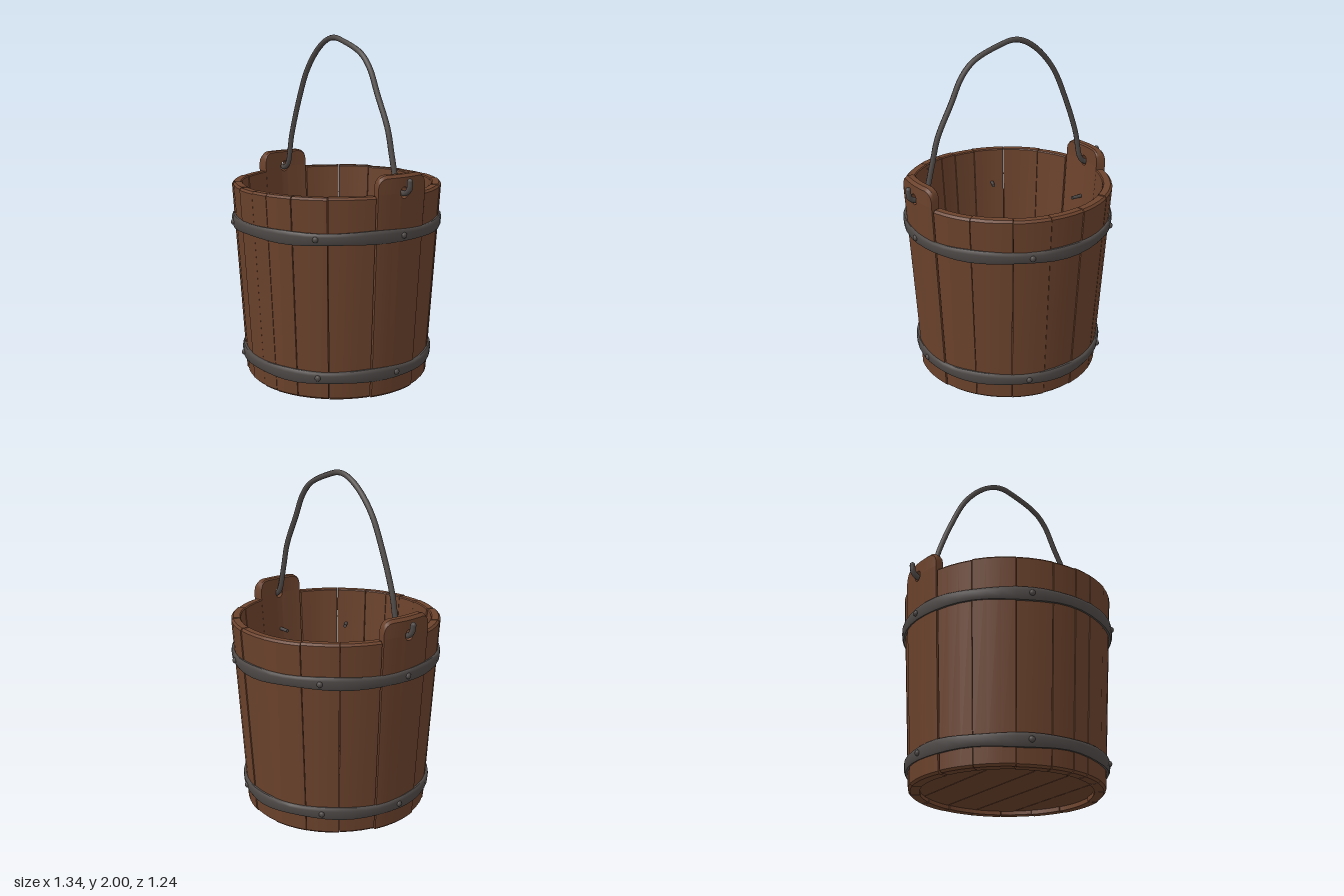
import * as THREE from 'three';
import { toCreasedNormals } from 'three/addons/utils/BufferGeometryUtils.js';

const rad = THREE.MathUtils.degToRad;
const TOP = 1.16;
const outerR = y => 0.542 + 0.07 * Math.min(y / TOP, 1);
const innerR = y => 0.478 + 0.078 * Math.min(y / TOP, 1);

let seed = 7;
const jitter = s => {
  seed = (seed * 16807) % 2147483647;
  return (seed / 2147483647 - 0.5) * 2 * s;
};

// Curved board: angle list (radians), lower and upper edge per angle, chamfers, radial shift
function boardGeometry(angles, lo, hi, chamferLo, chamferHi, shift) {
  const columns = angles.map(a => {
    const y0 = lo(a), y1 = hi(a), ro = y => outerR(y) + shift, ri = y => innerR(y) + shift;
    return [
      [ro(y0) - chamferLo, y0], [ro(y0), y0 + chamferLo],
      [ro(y1), y1 - chamferHi], [ro(y1) - chamferHi, y1],
      [ri(y1) + chamferHi * 0.5, y1], [ri(y1), y1 - chamferHi * 0.5], [ri(y0), y0],
    ].map(([r, y]) => new THREE.Vector3(r * Math.cos(a), y, r * Math.sin(a)));
  });
  const pos = [];
  const tri = (...pts) => pts.forEach(p => pos.push(p.x, p.y, p.z));
  for (let i = 0; i < columns.length - 1; i++) {
    const c = columns[i], d = columns[i + 1];
    for (let k = 0; k < c.length; k++) {
      const n = (k + 1) % c.length;
      tri(c[k], c[n], d[k]);
      tri(c[n], d[n], d[k]);
    }
  }
  const first = columns[0], last = columns[columns.length - 1];
  for (let k = 1; k < first.length - 1; k++) {
    tri(first[0], first[k + 1], first[k]);
    tri(last[0], last[k], last[k + 1]);
  }
  const g = new THREE.BufferGeometry();
  g.setAttribute('position', new THREE.Float32BufferAttribute(pos, 3));
  return toCreasedNormals(g, rad(30));
}

export function createModel() {
  const model = new THREE.Group();
  model.name = 'bucket';
  const wood = new THREE.MeshStandardMaterial({ color: 0x6b422c });
  wood.name = 'brown wood';
  const iron = new THREE.MeshStandardMaterial({ color: 0x4f4a48 });
  iron.name = 'dark iron';
  const add = (name, geometry, material, parent = model) => {
    const m = new THREE.Mesh(geometry, material);
    m.name = name;
    parent.add(m);
    return m;
  };

  // Plain staves, front then back, between the two ears
  const staves = new THREE.Group();
  staves.name = 'staves';
  model.add(staves);
  const seams = [
    [16, 41, 60, 75, 86, 100, 120, 143, 164],
    [196, 218, 238, 260, 280, 300, 322, 344],
  ];
  for (const list of seams) {
    for (let i = 0; i < list.length - 1; i++) {
      const a0 = rad(list[i] + 0.2), a1 = rad(list[i + 1] - 0.2);
      const angles = [0, 1, 2, 3].map(k => a0 + (a1 - a0) * k / 3);
      const bottom = 0.003 + jitter(0.003), top = TOP - 0.003 + jitter(0.004);
      add('stave', boardGeometry(angles, () => bottom, () => top, 0.012, 0.012, jitter(0.004)), wood, staves);
    }
  }

  // Ear staves: lower and upper halves meet around the handle hole
  const half = 0.165, corner = 0.055, holeY = 1.17, holeR = 0.028, arcR = 0.61;
  const us = [0, 0.01, 0.02, 0.026, holeR, 0.07, half - corner, 0.13, 0.147, 0.159, half];
  const widths = [...us.slice(1).reverse().map(u => -u), ...us];
  for (const centre of [0, Math.PI]) {
    const ear = new THREE.Group();
    ear.name = centre === 0 ? 'leftEarStave' : 'rightEarStave';
    model.add(ear);
    const angles = widths.map(u => centre + u / arcR);
    const offset = a => Math.abs(a - centre) * arcR;
    const holeEdge = a => 1.15 * Math.sqrt(Math.max(0, holeR ** 2 - offset(a) ** 2));
    const rounded = a => {
      const d = Math.min(corner, Math.max(0, offset(a) - (half - corner)));
      return 1.27 - corner + Math.sqrt(Math.max(0, corner ** 2 - d ** 2));
    };
    add('earBoard', boardGeometry(angles, () => 0, a => holeY - holeEdge(a), 0.012, 0, 0.006), wood, ear);
    add('earTop', boardGeometry(angles, a => holeY + holeEdge(a), rounded, 0, 0.016, 0.006), wood, ear);
  }

  // Round floor cut into parallel planks
  const floor = new THREE.Group();
  floor.name = 'floor';
  model.add(floor);
  const floorR = 0.486;
  const cuts = [-floorR, -0.31, -0.095, 0.1, 0.305, floorR];
  for (let i = 0; i < cuts.length - 1; i++) {
    const x0 = cuts[i] + (i ? 0.002 : 0), x1 = cuts[i + 1] - 0.002;
    const edge = [];
    for (let k = 0; k <= 10; k++) {
      const x = x0 + (x1 - x0) * k / 10;
      edge.push(new THREE.Vector2(x, Math.sqrt(Math.max(0, floorR ** 2 - x * x))));
    }
    const lower = edge.filter(p => p.y > 1e-6).map(p => new THREE.Vector2(p.x, -p.y));
    const shape = new THREE.Shape([...lower, ...edge.slice().reverse()]);
    const g = new THREE.ExtrudeGeometry(shape, { depth: 0.055, bevelEnabled: false });
    add('floorPlank', g.rotateX(-Math.PI / 2).translate(0, 0.025, 0), wood, floor);
  }
  const ring = new THREE.TorusGeometry(0.481, 0.006, 6, 40).rotateX(Math.PI / 2);
  add('floorRing', ring.translate(0, 0.083, 0), iron);

  // Slightly uneven iron hoops with nails driven through the staves
  for (const [name, y] of [['lowerHoop', 0.137], ['upperHoop', 0.935]]) {
    const r = outerR(y);
    const profile = [
      [-0.006, -0.034], [0.013, -0.035], [0.019, -0.022], [0.02, 0.015],
      [0.017, 0.03], [0.011, 0.035], [-0.006, 0.034],
    ].map(([dr, dy]) => new THREE.Vector2(r + dr + dy * 0.06, dy));
    const g = new THREE.LatheGeometry(profile, 48);
    const p = g.attributes.position;
    for (let i = 0; i < p.count; i++) {
      const a = Math.atan2(p.getZ(i), p.getX(i));
      p.setY(i, p.getY(i) * (1 + 0.1 * Math.sin(7 * a)) + y + 0.003 * Math.sin(5 * a));
    }
    g.computeVertexNormals();
    add(name, toCreasedNormals(g, rad(45)), iron);

    for (const deg of [0, 47, 112, 180, 228, 290]) {
      const nail = new THREE.Group();
      nail.name = 'nail';
      nail.rotation.y = -rad(deg);
      nail.position.y = y;
      model.add(nail);
      const shank = new THREE.CylinderGeometry(0.011, 0.011, 0.14, 8).rotateZ(Math.PI / 2);
      add('nailShank', shank.translate(r - 0.05, 0, 0), iron, nail);
      const head = new THREE.SphereGeometry(0.017, 10, 8).scale(0.8, 1, 1);
      add('nailHead', head.translate(r + 0.02, 0, 0), iron, nail);
    }
  }

  // Bent wire handle hooked through both ears
  const path = [
    [-0.652, 1.235], [-0.643, 1.19], [-0.615, 1.167], [-0.56, 1.165], [-0.525, 1.2],
    [-0.485, 1.37], [-0.4, 1.6], [-0.31, 1.785], [-0.2, 1.91], [-0.1, 1.972],
    [-0.03, 1.984], [0.04, 1.97], [0.22, 1.9], [0.3, 1.82], [0.37, 1.68],
    [0.46, 1.5], [0.5, 1.35], [0.545, 1.195], [0.575, 1.165], [0.62, 1.167],
    [0.648, 1.19], [0.652, 1.235],
  ].map(([x, y]) => new THREE.Vector3(x, y, -0.006));
  const curve = new THREE.CatmullRomCurve3(path, false, 'centripetal');
  add('handle', new THREE.TubeGeometry(curve, 110, 0.016, 8, false), iron);
  for (const end of [path[0], path[path.length - 1]]) {
    add('handleTip', new THREE.SphereGeometry(0.016, 8, 6).translate(end.x, end.y, end.z), iron);
  }
  return model;
}
